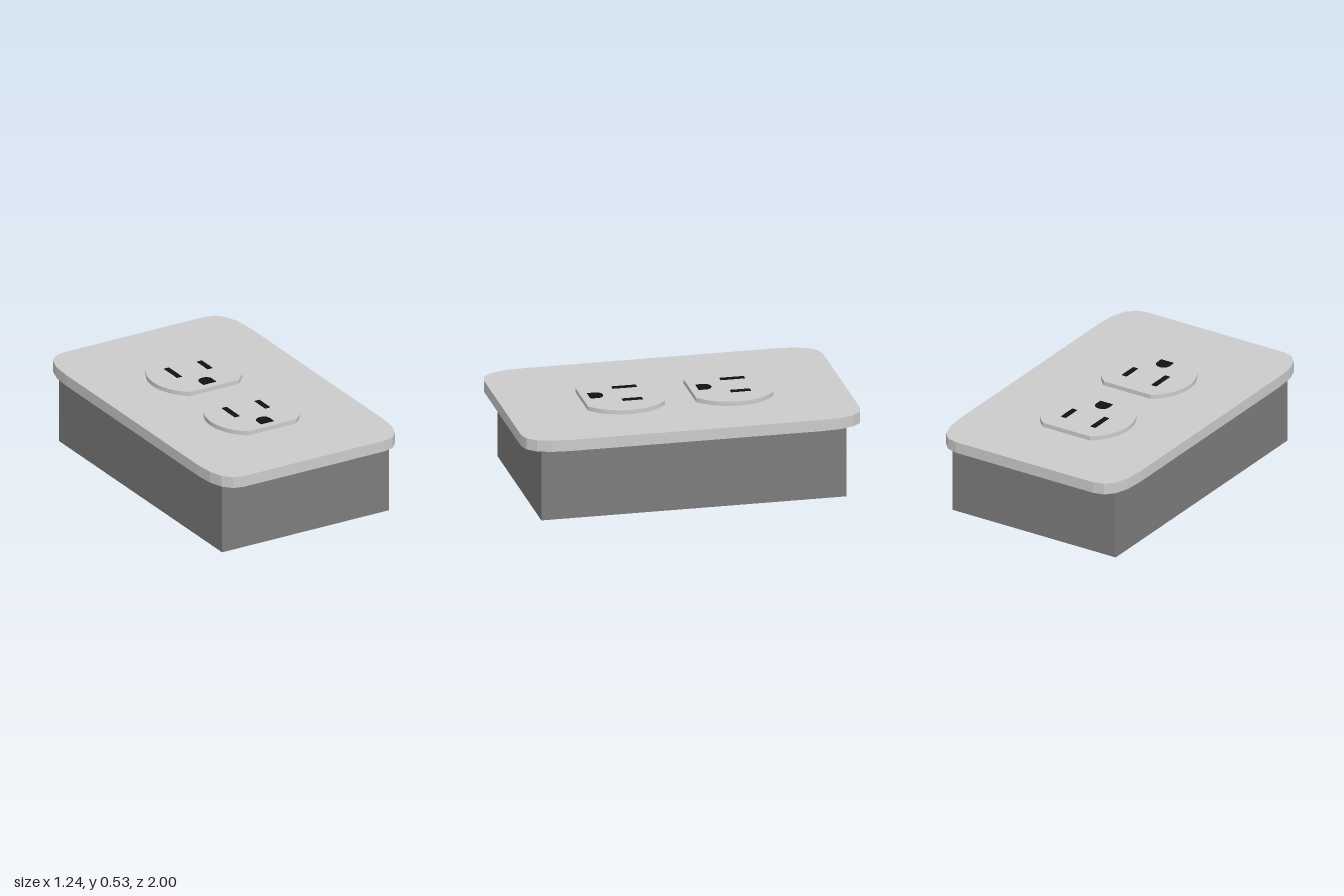
import * as THREE from 'three';

const plain = new THREE.MeshStandardMaterial({ color: 0xcccccc, flatShading: true });
const dark = new THREE.MeshStandardMaterial({ color: 0x7c7c7c, flatShading: true });
const black = new THREE.MeshStandardMaterial({ color: 0x111111, flatShading: true });

// Extrudes a flat outline (shape y points to -z) upward from y0 to y1
function slab(name, shape, y0, y1, material, curveSegments = 4) {
  const geo = new THREE.ExtrudeGeometry(shape, { depth: y1 - y0, bevelEnabled: false, curveSegments });
  geo.rotateX(-Math.PI / 2).translate(0, y0, 0);
  const mesh = new THREE.Mesh(geo, material);
  mesh.name = name;
  return mesh;
}

// Rectangle with softly curved corners, longer along z than along x
function plateShape(w, h, cx, cy) {
  const s = new THREE.Shape();
  s.moveTo(w - cx, -h);
  s.quadraticCurveTo(w, -h, w, -h + cy);
  s.lineTo(w, h - cy);
  s.quadraticCurveTo(w, h, w - cx, h);
  s.lineTo(-w + cx, h);
  s.quadraticCurveTo(-w, h, -w, h - cy);
  s.lineTo(-w, -h + cy);
  s.quadraticCurveTo(-w, -h, -w + cx, -h);
  return s;
}

// Round face with its two ends cut flat
function faceShape() {
  const s = new THREE.Shape();
  const a = Math.acos(0.16 / 0.275);
  s.absellipse(0, 0, 0.275, 0.28, -a, a, false);
  s.absellipse(0, 0, 0.275, 0.28, Math.PI - a, Math.PI + a, false);
  return s;
}

// Ground hole: square at one end, domed at the other
function groundShape() {
  const s = new THREE.Shape();
  s.moveTo(-0.048, -0.184);
  s.lineTo(0.037, -0.184);
  s.absellipse(-0.0055, -0.137, 0.0425, 0.036, 0, Math.PI, false);
  return s;
}

function slot(name, x, z, length) {
  const mesh = new THREE.Mesh(new THREE.BoxGeometry(0.032, 0.015, length), black);
  mesh.position.set(x, 0.5225, z);
  mesh.name = name;
  return mesh;
}

function socket(name, z) {
  const g = new THREE.Group();
  g.name = name;
  g.add(
    slab('socketFace', faceShape(), 0.49, 0.526, plain, 10),
    slot('longSlot', -0.111, -0.048, 0.143),
    slot('shortSlot', 0.101, -0.047, 0.117),
    slab('groundHole', groundShape(), 0.515, 0.53, black, 6)
  );
  g.position.z = z;
  return g;
}

export function createModel() {
  const model = new THREE.Group();
  model.name = 'wallOutlet';

  // Box behind the cover
  const box = new THREE.Mesh(new THREE.BoxGeometry(1.12, 0.435, 1.8), dark);
  box.position.y = 0.2175;
  box.name = 'backBox';

  model.add(
    box,
    slab('coverPlate', plateShape(0.62, 1, 0.15, 0.27), 0.432, 0.5, plain),
    socket('rearSocket', -0.333),
    socket('frontSocket', 0.305)
  );
  return model;
}
